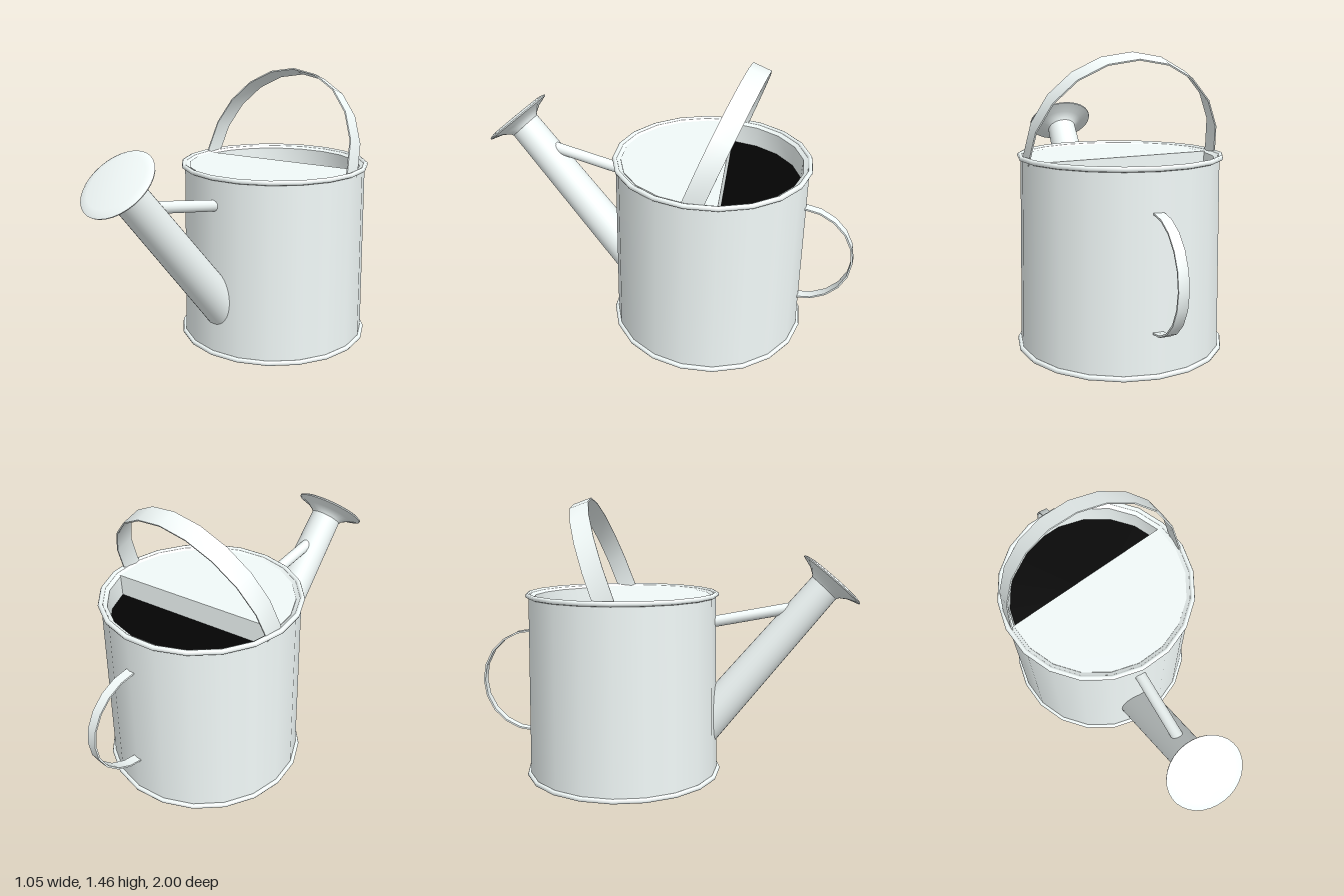
import * as THREE from 'three';
import { toCreasedNormals } from 'three/addons/utils/BufferGeometryUtils.js';

const SIDES = 20;
const BODY_Z = -0.24;
const STEP = Math.PI / 10;

const metal = new THREE.MeshStandardMaterial({ color: 0xf2faf9 });
const metalDouble = new THREE.MeshStandardMaterial({ color: 0xf2faf9, side: THREE.DoubleSide });
const black = new THREE.MeshStandardMaterial({ color: 0x040404 });

// Thin half-hoop strap lying in XY with short straight tails, extruded to a width
function strapGeometry(rx, ry, thickness, width, tail) {
  const outer = [new THREE.Vector2(rx, -tail)];
  const inner = [new THREE.Vector2(rx - thickness, -tail)];
  for (let i = 0; i <= 10; i++) {
    const c = Math.cos(i * STEP), s = Math.sin(i * STEP);
    outer.push(new THREE.Vector2(rx * c, ry * s));
    inner.push(new THREE.Vector2((rx - thickness) * c, (ry - thickness) * s));
  }
  outer.push(new THREE.Vector2(-rx, -tail));
  inner.push(new THREE.Vector2(thickness - rx, -tail));
  const shape = new THREE.Shape([...outer, ...inner.reverse()]);
  const geo = new THREE.ExtrudeGeometry(shape, { depth: width, bevelEnabled: false });
  geo.translate(0, 0, -width / 2);
  return toCreasedNormals(geo, 0.6);
}

// Tapered tube between two points
function rod(a, b, ra, rb, sides) {
  const dir = b.clone().sub(a);
  const mesh = new THREE.Mesh(new THREE.CylinderGeometry(rb, ra, dir.length(), sides), metal);
  mesh.position.copy(a).add(b).multiplyScalar(0.5);
  mesh.quaternion.setFromUnitVectors(new THREE.Vector3(0, 1, 0), dir.normalize());
  return mesh;
}

export function createModel() {
  const model = new THREE.Group();
  const add = (name, mesh, parent = model) => {
    mesh.name = name;
    parent.add(mesh);
    return mesh;
  };

  // Body: tapered wall, base, rolled rims and inner lining
  const body = add('body', new THREE.Group());
  body.position.z = BODY_Z;
  const wall = new THREE.CylinderGeometry(0.492, 0.506, 0.96, SIDES, 1, true);
  add('wall', new THREE.Mesh(wall, metal), body).position.y = 0.485;
  const base = add('base', new THREE.Mesh(new THREE.CircleGeometry(0.512, SIDES), metalDouble), body);
  base.rotation.x = Math.PI / 2;
  base.position.y = 0.004;
  for (const [name, radius, y] of [['bottomRim', 0.511, 0.013], ['topRim', 0.496, 0.966]]) {
    const rim = add(name, new THREE.Mesh(new THREE.TorusGeometry(radius, 0.013, 8, SIDES), metal), body);
    rim.rotation.x = Math.PI / 2;
    rim.position.y = y;
  }
  const lining = [[0.492, 0.974], [0.464, 0.957], [0.46, 0.84]].map(p => new THREE.Vector2(...p));
  const liningGeo = toCreasedNormals(new THREE.LatheGeometry(lining, SIDES), 0.6);
  add('innerWall', new THREE.Mesh(liningGeo, metalDouble), body);

  // Dark opening and the cover that closes the front part of the top
  const opening = add('opening', new THREE.Mesh(new THREE.CircleGeometry(0.462, SIDES), black), body);
  opening.rotation.x = -Math.PI / 2;
  opening.position.y = 0.85;
  const rimPoints = [];
  for (let i = -5; i <= 6; i++) {
    rimPoints.push(new THREE.Vector2(0.466 * Math.sin(i * STEP), -0.466 * Math.cos(i * STEP)));
  }
  const coverGeo = new THREE.ExtrudeGeometry(new THREE.Shape(rimPoints), { depth: 0.117, bevelEnabled: false });
  coverGeo.rotateX(-Math.PI / 2);
  add('cover', new THREE.Mesh(coverGeo, metal), body).position.y = 0.846;

  // Carrying handle, leaning back over the top
  const topHandle = add('topHandle', new THREE.Mesh(strapGeometry(0.483, 0.503, 0.007, 0.1, 0.02), metal));
  topHandle.position.set(0, 0.975, -0.275);
  topHandle.rotation.x = -THREE.MathUtils.degToRad(20);

  // Pouring handle on the back
  const backGeo = strapGeometry(0.28, 0.275, 0.009, 0.05, 0.02);
  backGeo.rotateX(-Math.PI / 2).rotateZ(Math.PI / 2);
  add('backHandle', new THREE.Mesh(backGeo, metal)).position.set(0, 0.492, -0.725);

  // Spout and its brace
  const spoutEnd = new THREE.Vector3(0, 1.025, 0.833);
  add('spout', rod(new THREE.Vector3(0, 0.205, 0.15), spoutEnd, 0.104, 0.084, 32));
  add('spoutBrace', rod(new THREE.Vector3(0, 0.812, 0.2), new THREE.Vector3(0, 0.897, 0.66), 0.03, 0.03, 16));

  // Flared sprinkler rose with a gently domed face
  const profile = [[0.08, -0.07], [0.092, -0.048], [0.128, -0.025], [0.188, -0.006], [0.19, 0], [0.178, 0.006], [0.15, 0.011], [0, 0.013]]
    .map(p => new THREE.Vector2(...p));
  const roseGeo = toCreasedNormals(new THREE.LatheGeometry(profile, 32), 0.9);
  const rose = add('rose', new THREE.Mesh(roseGeo, metalDouble));
  rose.position.set(0, 1.045, 0.854);
  rose.quaternion.setFromUnitVectors(new THREE.Vector3(0, 1, 0), new THREE.Vector3(0, 0.756, 0.654).normalize());

  return model;
}
